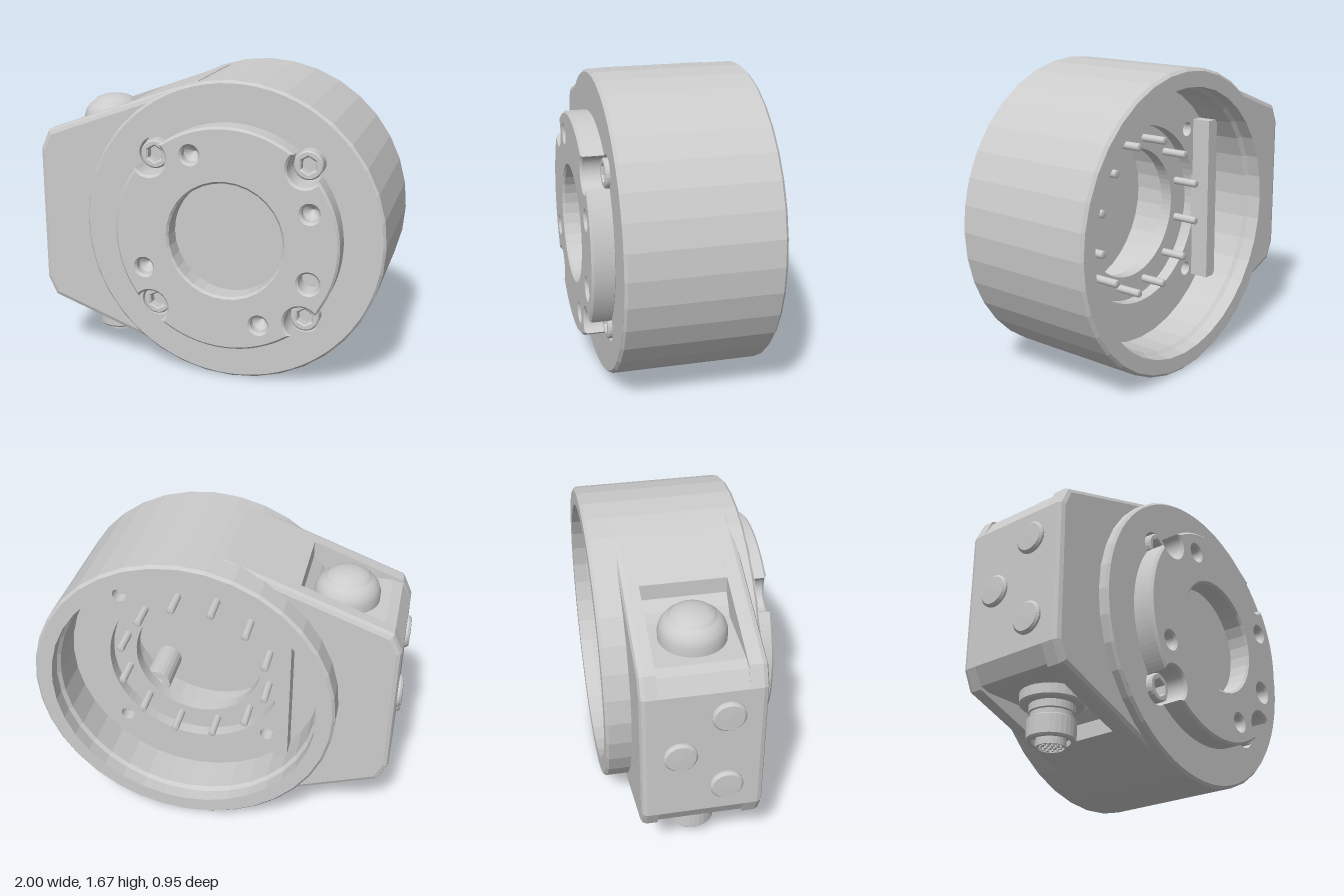
import * as THREE from 'three';

const CX = 0.16, CY = 0.835; // axis of the drum
const flat = new THREE.MeshStandardMaterial({ color: 0xcccccc, flatShading: true, side: THREE.DoubleSide });
const smooth = new THREE.MeshStandardMaterial({ color: 0xcccccc, side: THREE.DoubleSide });
const rad = THREE.MathUtils.degToRad;
const V = (x, y) => new THREE.Vector2(x, y);
const polar = (r, deg) => V(r * Math.cos(rad(deg)), r * Math.sin(rad(deg)));

function add(parent, name, geometry, material = flat) {
  const mesh = new THREE.Mesh(geometry, material);
  mesh.name = name;
  parent.add(mesh);
  return mesh;
}

// Turned part along z from [radius, z] pairs
function turnedZ(profile, segments = 36) {
  return new THREE.LatheGeometry(profile.map(([r, z]) => V(r, z)), segments).rotateX(Math.PI / 2);
}

function turnedY(profile, segments = 32) {
  return new THREE.LatheGeometry(profile.map(([r, y]) => V(r, y)), segments);
}

function circlePath(r, x = 0, y = 0) {
  return new THREE.Path().absarc(x, y, r, 0, Math.PI * 2, false);
}

// Plate between two z levels, with holes and an optional chamfer
function plate(shape, z0, z1, holes = [], bevel = 0, curveSegments = 36) {
  shape.holes.push(...holes);
  return new THREE.ExtrudeGeometry(shape, {
    depth: z1 - z0 - 2 * bevel, curveSegments, bevelEnabled: bevel > 0, bevelSegments: 1,
    bevelSize: bevel, bevelThickness: bevel, bevelOffset: -bevel
  }).translate(0, 0, z0 + bevel);
}

function discShape(r) {
  return new THREE.Shape().absarc(0, 0, r, 0, Math.PI * 2, false);
}

// Counter-clockwise outline moved inward by d with mitred corners
function inset(points, d) {
  const n = points.length;
  return points.map((p, i) => {
    const a = p.clone().sub(points[(i + n - 1) % n]).normalize();
    const b = points[(i + 1) % n].clone().sub(p).normalize();
    const na = V(-a.y, a.x), nb = V(-b.y, b.x);
    return p.clone().addScaledVector(na.clone().add(nb), d / (1 + na.dot(nb)));
  });
}

// Solid from one outline through [z, inset] stations, capped at both ends
function loft(outline, stations) {
  const n = outline.length, pos = [], index = [];
  stations.forEach(([z, d]) => inset(outline, d).forEach(p => pos.push(p.x, p.y, z)));
  for (let s = 0; s < stations.length - 1; s++) {
    for (let i = 0; i < n; i++) {
      const a = s * n + i, b = s * n + (i + 1) % n;
      index.push(a, b, b + n, a, b + n, a + n);
    }
  }
  const last = (stations.length - 1) * n;
  THREE.ShapeUtils.triangulateShape(outline, []).forEach(([a, b, c]) => {
    index.push(c, b, a, a + last, b + last, c + last);
  });
  const g = new THREE.BufferGeometry();
  g.setAttribute('position', new THREE.Float32BufferAttribute(pos, 3));
  g.setIndex(index);
  g.computeVertexNormals();
  return g;
}

// Side housing outline; the pocketed one has a step cut in each slope
function housingOutline(pockets) {
  const slope = x => 0.784 + 0.364 * (x + 0.286);
  const upper = [V(-1.135, 0.385), V(-1.085, slope(-1.085))];
  if (pockets) upper.splice(1, 1, V(-1.085, 0.475), V(-1.03, 0.492), V(-0.59, 0.492), V(-0.59, slope(-0.59)));
  upper.push(polar(0.835, 110), polar(0.836, 104));
  const inner = [];
  for (let a = 104; a <= 256; a += 8) inner.push(polar(0.785, a));
  const lower = upper.map(p => V(p.x, -p.y)).reverse();
  return [...upper, ...inner, ...lower].reverse();
}

export function createModel() {
  const group = new THREE.Group();
  const body = new THREE.Group();
  body.name = 'body';
  body.position.set(CX, CY, 0);
  group.add(body);

  const boltAngles = [45, 135, 225, 315];
  const boltR = 0.594, notchR = 0.093;
  const boltHoles = r => boltAngles.map(a => { const p = polar(boltR, a); return circlePath(r, p.x, p.y); });

  // Drum shell, open at the back
  add(body, 'drumShell', turnedZ([
    [0.72, 0.27], [0.72, -0.38], [0.737, -0.4], [0.737, -0.475], [0.82, -0.475],
    [0.835, -0.46], [0.835, 0.34], [0.82, 0.355], [0.8, 0.355]]));
  add(body, 'frontPlate', plate(discShape(0.82), 0.28, 0.355, boltHoles(notchR)));
  add(body, 'frontBacking', plate(discShape(0.78), 0.25, 0.28));

  // Inner bulkhead and stepped ring
  add(body, 'bulkhead', plate(discShape(0.725), -0.17, -0.1, [circlePath(0.5), ...boltHoles(0.04)]));
  add(body, 'pinRing', plate(discShape(0.6), -0.1, -0.03, [circlePath(0.365)]));
  add(body, 'innerSleeve', turnedZ([[0.5, -0.03], [0.5, 0.25]]));
  for (let i = 0; i < 12; i++) {
    const p = polar(0.425, i * 30 + 15);
    add(body, 'pin', turnedZ([[0.022, -0.1], [0.022, -0.245], [0.017, -0.25], [0, -0.25]], 12), smooth)
      .position.set(p.x, p.y, 0);
  }
  add(body, 'innerBoss', turnedZ([[0.04, 0.25], [0.04, -0.02], [0.08, -0.02], [0.08, 0.25]], 20))
    .position.set(0.28, -0.28, 0);
  add(body, 'innerWall', new THREE.BoxGeometry(0.08, 0.94, 0.12)).position.set(-0.52, 0, -0.22);

  // Front flange with bolt notches in its rim
  const R = 0.615;
  const alpha = Math.acos((R * R + boltR * boltR - notchR * notchR) / (2 * R * boltR));
  const beta = Math.atan2(R * Math.sin(alpha), R * Math.cos(alpha) - boltR);
  const flange = new THREE.Shape();
  boltAngles.forEach(deg => {
    const a = rad(deg), c = polar(boltR, deg);
    flange.absarc(0, 0, R, a - Math.PI / 2 + alpha, a - alpha, false);
    flange.absarc(c.x, c.y, notchR, a - beta, a + beta, true);
  });
  const cones = [[-0.19, 0.455], [0.455, 0.19], [-0.455, -0.19], [0.19, -0.455]];
  const flangeHoles = [circlePath(0.315), circlePath(0.056, 0.455, -0.19),
    ...cones.map(([x, y]) => circlePath(0.047, x, y))];
  add(body, 'flange', plate(flange, 0.345, 0.475, flangeHoles, 0.012, 16));
  cones.forEach(([x, y]) => add(body, 'drilledHole',
    turnedZ([[0, 0.37], [0.049, 0.42]], 20)).position.set(x, y, 0));

  // Socket-head bolts
  boltAngles.forEach(deg => {
    const p = polar(boltR, deg);
    const hex = new THREE.Path([0, 1, 2, 3, 4, 5].map(i => polar(0.045, i * 60 + 30)));
    const bolt = new THREE.Group();
    bolt.name = 'bolt';
    bolt.position.set(p.x, p.y, 0);
    add(bolt, 'boltHead', plate(discShape(0.078), 0.28, 0.375, [hex], 0.008, 12));
    add(bolt, 'boltSocketFloor', plate(discShape(0.06), 0.28, 0.32, [], 0, 12));
    body.add(bolt);
  });

  // Side housing: solid cheeks around a pocketed middle
  const solid = housingOutline(false);
  add(body, 'housingBackCheek', loft(solid, [[-0.34, 0.03], [-0.331, 0.009], [-0.31, 0], [-0.25, 0]]));
  add(body, 'housingMiddle', loft(housingOutline(true), [[-0.25, 0], [0.2, 0]]));
  add(body, 'housingFrontCheek', loft(solid, [[0.2, 0], [0.27, 0], [0.291, 0.009], [0.3, 0.03]]));

  // Domed button in the upper pocket
  add(group, 'domeButton', turnedY([
    [0.175, 0], [0.176, 0.05], [0.165, 0.085], [0.145, 0.112], [0.124, 0.125],
    [0.118, 0.13], [0.105, 0.147], [0.07, 0.162], [0.035, 0.168], [0, 0.17]]), smooth)
    .position.set(-0.645, 1.325, -0.02);

  // Round plugs on the end face
  [[1.07, 0.1], [0.84, -0.14], [0.615, 0.1]].forEach(([y, z]) => {
    add(group, 'endPlug', turnedY([[0.088, -0.01], [0.088, 0.012], [0.076, 0.024], [0, 0.026]], 28)
      .rotateZ(Math.PI / 2)).position.set(-0.974, y, z);
  });

  // Cable connector in the lower pocket
  const connector = new THREE.Group();
  connector.name = 'connector';
  connector.position.set(-0.645, 0, -0.02);
  add(connector, 'connectorBody', turnedY([
    [0.17, 0.35], [0.17, 0.29], [0.16, 0.28], [0.12, 0.28], [0.12, 0.24], [0.112, 0.235], [0.112, 0.21],
    [0.128, 0.2], [0.128, 0.1], [0.12, 0.09], [0.1, 0.09], [0.1, 0.12], [0.078, 0.12],
    [0.078, 0.06], [0.07, 0.06], [0.07, 0.075], [0, 0.075]], 28));
  [[1, 0], [6, 0.026], [12, 0.052]].forEach(([count, r]) => {
    for (let i = 0; i < count; i++) {
      const p = polar(r, i * 360 / count);
      add(connector, 'contact', new THREE.CylinderGeometry(0.007, 0.007, 0.02, 8)).position.set(p.x, 0.07, p.y);
    }
  });
  group.add(connector);
  return group;
}
